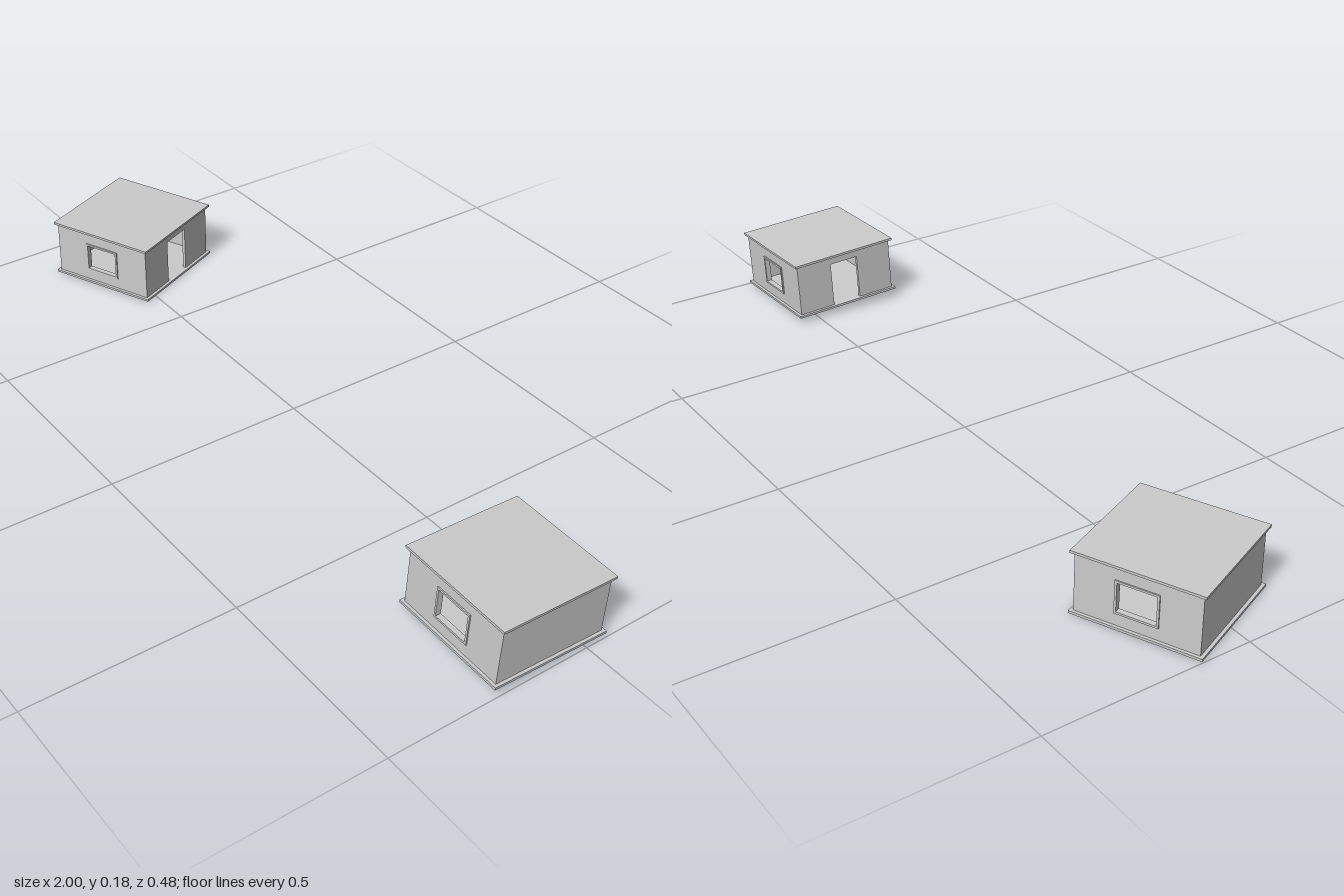
import * as THREE from 'three';

const SLAB = 0.295, SLAB_H = 0.006, HEIGHT = 0.15;
const WALL = 0.28, WALL_T = 0.008, WALL_H = HEIGHT - 2 * SLAB_H;
const WIN = { w: 0.088, y0: 0.034, y1: 0.102 };
const DOOR = { w: 0.08, h: 0.118 };
const RIM = 0.005;

const material = new THREE.MeshStandardMaterial({ color: 0xcccccc, flatShading: true });

function add(parent, name, geometry) {
  const mesh = new THREE.Mesh(geometry, material);
  mesh.name = name;
  parent.add(mesh);
  return mesh;
}

function rect(Type, w, y0, y1) {
  return new Type([[-w / 2, y0], [w / 2, y0], [w / 2, y1], [-w / 2, y1]].map(([x, y]) => new THREE.Vector2(x, y)));
}

const extrude = (shape, depth) => new THREE.ExtrudeGeometry(shape, { depth, bevelEnabled: false });

// Wall panel whose outer face lies at z = WALL / 2
function wall(parent, name, shape, angle) {
  const geometry = extrude(shape, WALL_T).translate(0, SLAB_H, WALL / 2 - WALL_T);
  add(parent, name, geometry).rotation.y = angle;
}

function createHut(name) {
  const hut = new THREE.Group();
  hut.name = name;

  // Floor and roof slabs
  add(hut, 'floor', new THREE.BoxGeometry(SLAB, SLAB_H, SLAB)).position.y = SLAB_H / 2;
  add(hut, 'roof', new THREE.BoxGeometry(SLAB, SLAB_H, SLAB)).position.y = HEIGHT - SLAB_H / 2;

  // Front and back walls with framed windows
  for (const [side, angle] of [['front', 0], ['back', Math.PI]]) {
    const panel = rect(THREE.Shape, WALL, 0, WALL_H);
    panel.holes.push(rect(THREE.Path, WIN.w, WIN.y0, WIN.y1));
    wall(hut, side + 'Wall', panel, angle);

    const frame = rect(THREE.Shape, WIN.w + 2 * RIM, WIN.y0 - RIM, WIN.y1 + RIM);
    frame.holes.push(rect(THREE.Path, WIN.w, WIN.y0, WIN.y1));
    const depth = WALL_T + 0.006;
    const geometry = extrude(frame, depth).translate(0, SLAB_H, WALL / 2 - WALL_T / 2 - depth / 2);
    add(hut, side + 'WindowFrame', geometry).rotation.y = angle;
  }

  // Solid side wall, fitted between front and back
  const inner = WALL - 2 * WALL_T;
  wall(hut, 'solidWall', rect(THREE.Shape, inner, 0, WALL_H), -Math.PI / 2);

  // Opposite side wall, with a doorway open to the floor
  const i = inner / 2, d = DOOR.w / 2;
  const doorway = new THREE.Shape([
    [-i, 0], [-d, 0], [-d, DOOR.h], [d, DOOR.h], [d, 0], [i, 0], [i, WALL_H], [-i, WALL_H],
  ].map(([x, y]) => new THREE.Vector2(x, y)));
  wall(hut, 'doorWall', doorway, Math.PI / 2);

  return hut;
}

export function createModel() {
  const model = new THREE.Group();
  model.name = 'twoHuts';

  // Almost level hut, turned on its plot
  const turned = createHut('turnedHut');
  turned.position.set(-0.805, 0.0025, -0.044);
  turned.rotation.set(-0.004, 0.41, -0.006, 'XZY');

  // Slightly tilted hut, doorway facing the other one
  const tilted = createHut('tiltedHut');
  tilted.position.set(0.848, 0.0165, 0.09);
  tilted.rotation.set(-0.041, Math.PI, -0.03, 'XZY');

  model.add(turned, tilted);
  return model;
}
